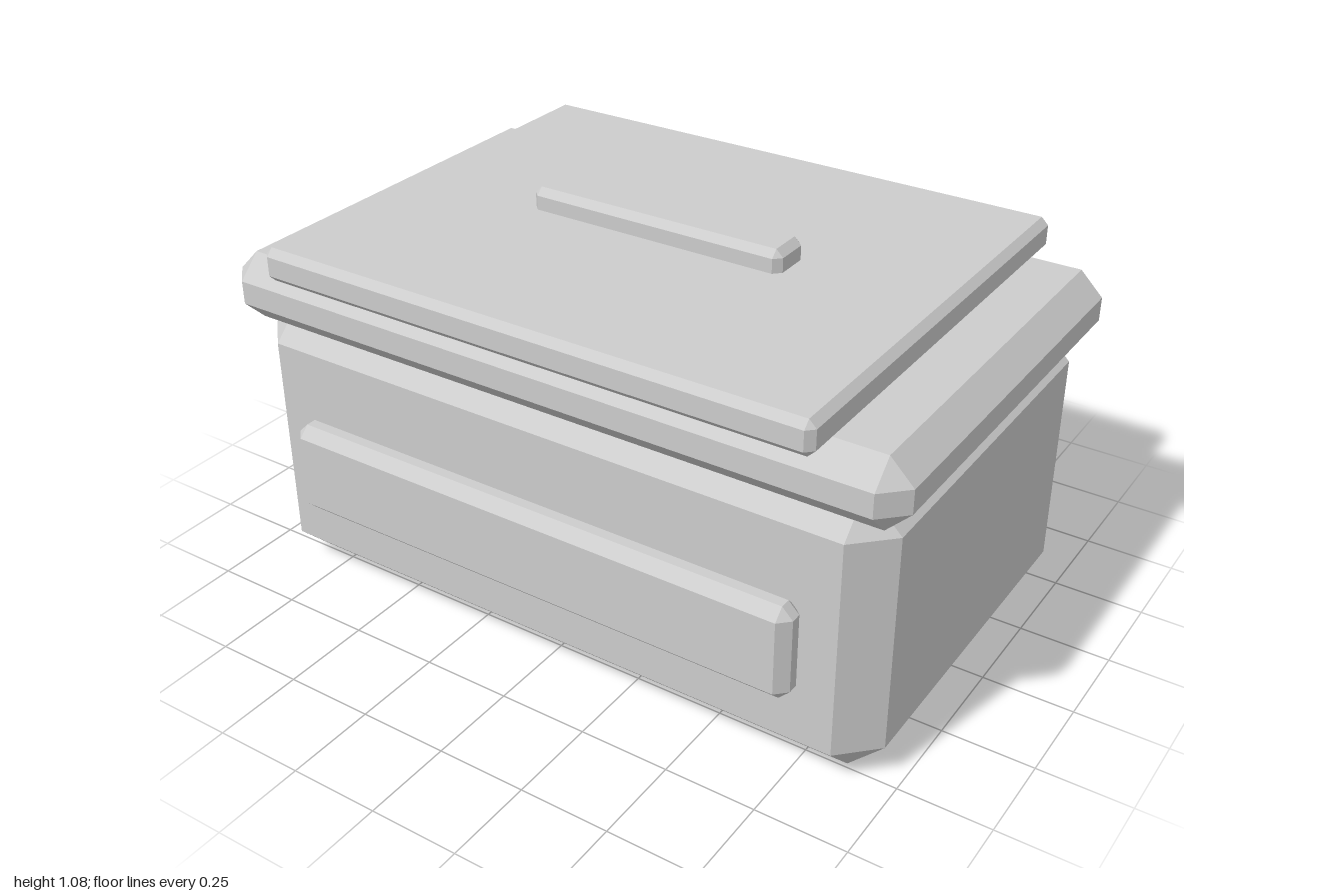
import * as THREE from 'three';
import { ConvexGeometry } from 'three/addons/geometries/ConvexGeometry.js';

// Box with every edge cut by a flat bevel of width c
function bevelledBox(w, h, d, c) {
  const half = [w / 2, h / 2, d / 2];
  const points = [];
  for (const sx of [-1, 1]) for (const sy of [-1, 1]) for (const sz of [-1, 1]) {
    const sign = [sx, sy, sz];
    // three points per corner, each lying on one of the main faces
    for (let axis = 0; axis < 3; axis++) {
      const p = half.map((v, i) => sign[i] * (i === axis ? v : v - c));
      points.push(new THREE.Vector3(...p));
    }
  }
  return new ConvexGeometry(points);
}

export function createModel() {
  const model = new THREE.Group();
  model.name = 'storageBox';
  const grey = new THREE.MeshStandardMaterial({ color: 0xcccccc });
  grey.name = 'light grey';

  // Place a bevelled box by its limits along each axis
  function addPart(name, [x0, x1], [y0, y1], [z0, z1], bevel) {
    const mesh = new THREE.Mesh(bevelledBox(x1 - x0, y1 - y0, z1 - z0, bevel), grey);
    mesh.name = name;
    mesh.position.set((x0 + x1) / 2, (y0 + y1) / 2, (z0 + z1) / 2);
    model.add(mesh);
  }

  addPart('body', [-0.955, 0.955], [0, 0.8], [-0.588, 0.583], 0.096);
  addPart('rim', [-1, 1], [0.75, 0.943], [-0.615, 0.61], 0.064);
  addPart('lid', [-0.805, 0.802], [0.93, 1.024], [-0.656, 0.649], 0.02);
  addPart('lidHandle', [-0.383, 0.38], [0.99, 1.084], [-0.068, 0.062], 0.02);
  addPart('frontPlate', [-0.767, 0.765], [0.246, 0.512], [0.567, 0.656], 0.03);

  return model;
}
